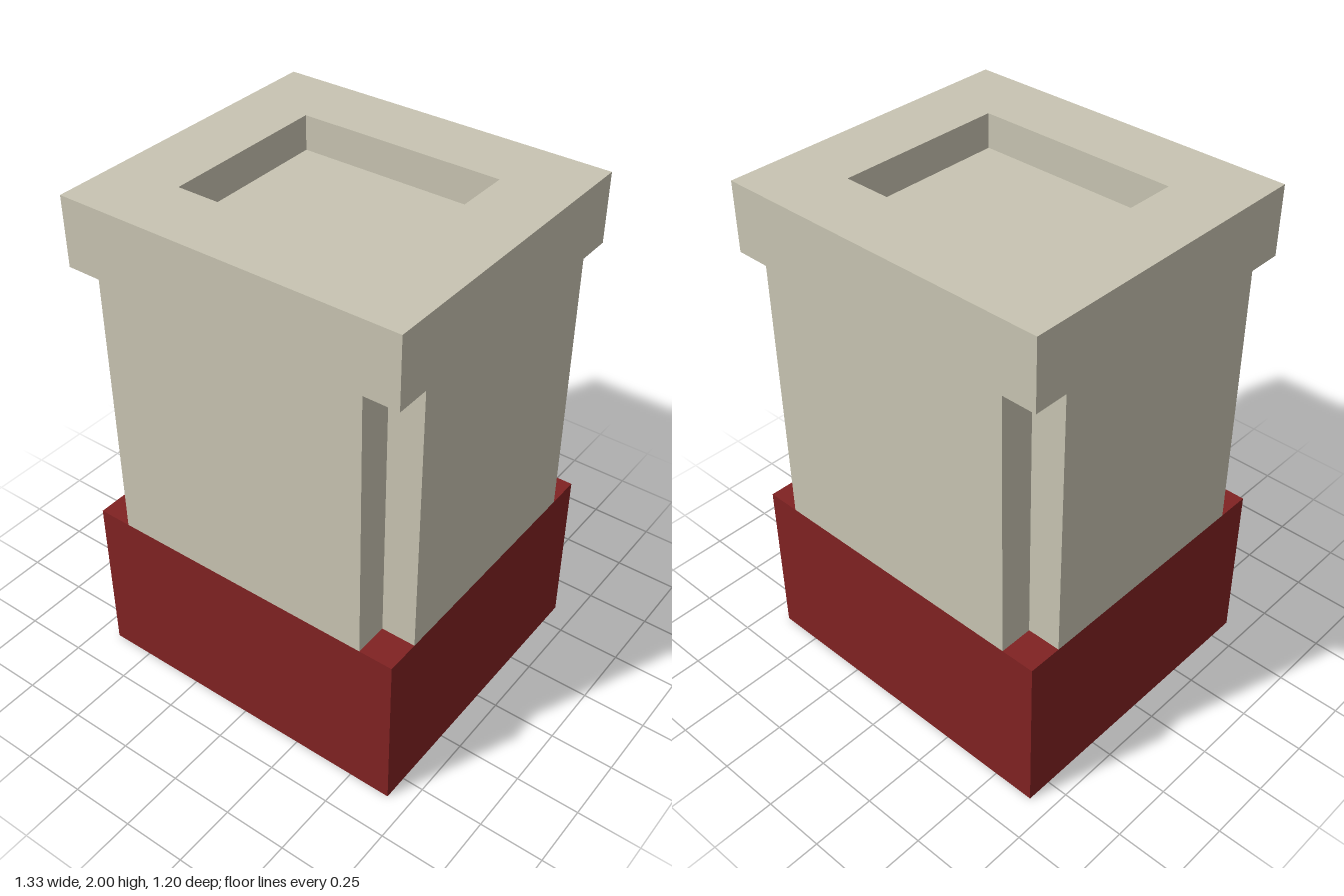
import * as THREE from 'three';

const W = 0.6667, D = 0.6;        // half width and half depth
const NOTCH = 0.1333;             // corner cut-out
const BASE = 0.6667, CAP = 1.7333, FLOOR = 1.8667, TOP = 2;

const outline = (points) => new THREE.Shape(points.map(([x, z]) => new THREE.Vector2(x, z)));
const rect = (w, d) => outline([[-w, -d], [w, -d], [w, d], [-w, d]]);

export function createModel() {
  const group = new THREE.Group();
  const stone = new THREE.MeshStandardMaterial({ color: 0xc8c4b2 });
  stone.name = 'cream stone';
  const red = new THREE.MeshStandardMaterial({ color: 0x802222 });
  red.name = 'dark red';

  // Extrudes a plan outline upward between two heights
  const slab = (name, shape, y0, y1, material) => {
    const geometry = new THREE.ExtrudeGeometry(shape, { depth: y1 - y0, bevelEnabled: false });
    geometry.rotateX(-Math.PI / 2).translate(0, y0, 0);
    const mesh = new THREE.Mesh(geometry, material);
    mesh.name = name;
    group.add(mesh);
  };

  // Red base block
  slab('base', rect(W, D), 0, BASE, red);

  // Column with a square notch in each corner
  const w = W - NOTCH, d = D - NOTCH;
  slab('column', outline([
    [-w, -D], [w, -D], [w, -d], [W, -d], [W, d], [w, d],
    [w, D], [-w, D], [-w, d], [-W, d], [-W, -d], [-w, -d],
  ]), BASE, CAP, stone);

  // Cap with a rectangular recess, and the recess floor
  const cap = rect(W, D);
  cap.holes.push(rect(0.4, 0.3333));
  slab('cap', cap, CAP, TOP, stone);
  slab('recessFloor', rect(0.4, 0.3333), CAP, FLOOR, stone);

  return group;
}
